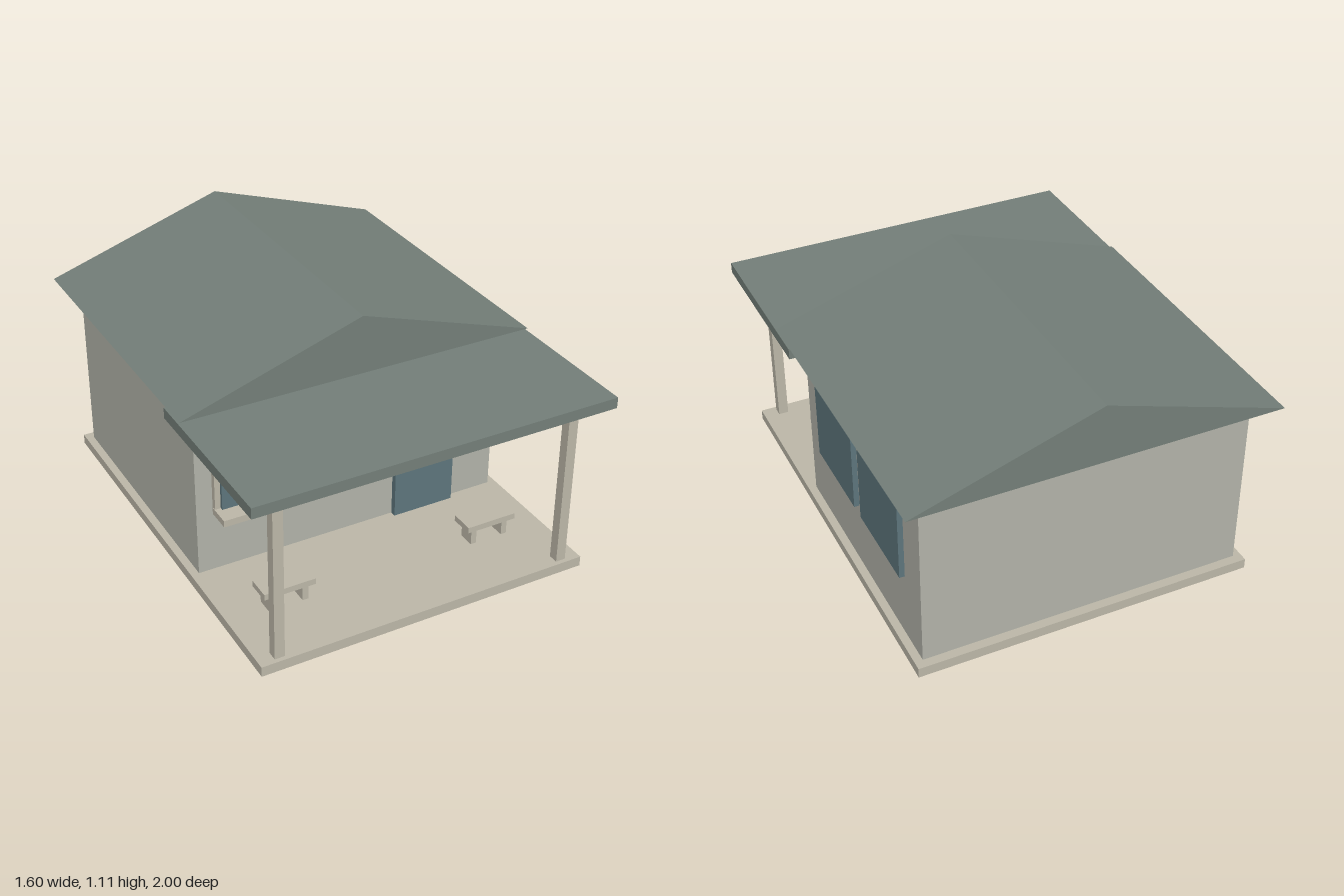
import * as THREE from 'three';

export function createModel() {
  const house = new THREE.Group();
  house.name = 'house';
  const material = (color) => new THREE.MeshStandardMaterial({ color, flatShading: true });
  const wall = material(0xb0b1a7);
  const wood = material(0xbab5a6);
  const roofing = material(0x727d77);
  const glass = material(0x5c747b);

  // Box given by its extents along each axis
  function box(name, mat, [x0, x1], [y0, y1], [z0, z1], parent = house) {
    const mesh = new THREE.Mesh(new THREE.BoxGeometry(x1 - x0, y1 - y0, z1 - z0), mat);
    mesh.position.set((x0 + x1) / 2, (y0 + y1) / 2, (z0 + z1) / 2);
    mesh.name = name;
    parent.add(mesh);
    return mesh;
  }

  const floorY = 0.045;
  box('floorSlab', wood, [-0.745, 0.745], [0, floorY], [-0.94, 0.94]);
  box('walls', wall, [-0.71, 0.71], [floorY, 0.85], [-0.9, 0.29]);

  // Gable roof: triangular prism with its ridge along z
  const gable = new THREE.Shape();
  gable.moveTo(-0.8, 0.85);
  gable.lineTo(0.8, 0.85);
  gable.lineTo(0, 1.11);
  gable.closePath();
  const roof = new THREE.Mesh(
    new THREE.ExtrudeGeometry(gable, { depth: 1.38, bevelEnabled: false }), roofing);
  roof.position.z = -1;
  roof.name = 'gableRoof';
  house.add(roof);

  // Porch roof and its posts
  box('porchRoof', roofing, [-0.8, 0.8], [0.79, 0.838], [0.23, 1]);
  for (const side of [-1, 1]) {
    const x = side * 0.657;
    box(side > 0 ? 'leftPost' : 'rightPost', wood, [x - 0.022, x + 0.022], [floorY, 0.79], [0.877, 0.921]);
  }

  // Front window with frame and projecting sill
  box('windowFrame', wood, [-0.637, -0.05], [0.322, 0.7], [0.28, 0.315]);
  box('frontWindow', glass, [-0.612, -0.072], [0.35, 0.67], [0.285, 0.33]);
  box('windowSill', wood, [-0.64, -0.035], [0.325, 0.355], [0.3, 0.405]);

  box('door', glass, [0.21, 0.498], [floorY, 0.675], [0.285, 0.317]);

  // Pair of windows on the left wall
  for (const z of [-0.07, -0.543]) {
    box('sideWindow', glass, [0.7, 0.733], [0.353, 0.702], [z - 0.202, z + 0.202]);
  }

  // Porch benches
  for (const x of [-0.479, 0.477]) {
    const bench = new THREE.Group();
    bench.name = 'bench';
    bench.position.x = x;
    house.add(bench);
    box('benchSeat', wood, [-0.116, 0.116], [0.121, 0.148], [0.56, 0.667], bench);
    for (const leg of [-0.076, 0.076]) {
      box('benchLeg', wood, [leg - 0.013, leg + 0.013], [floorY, 0.121], [0.577, 0.65], bench);
    }
  }
  return house;
}
